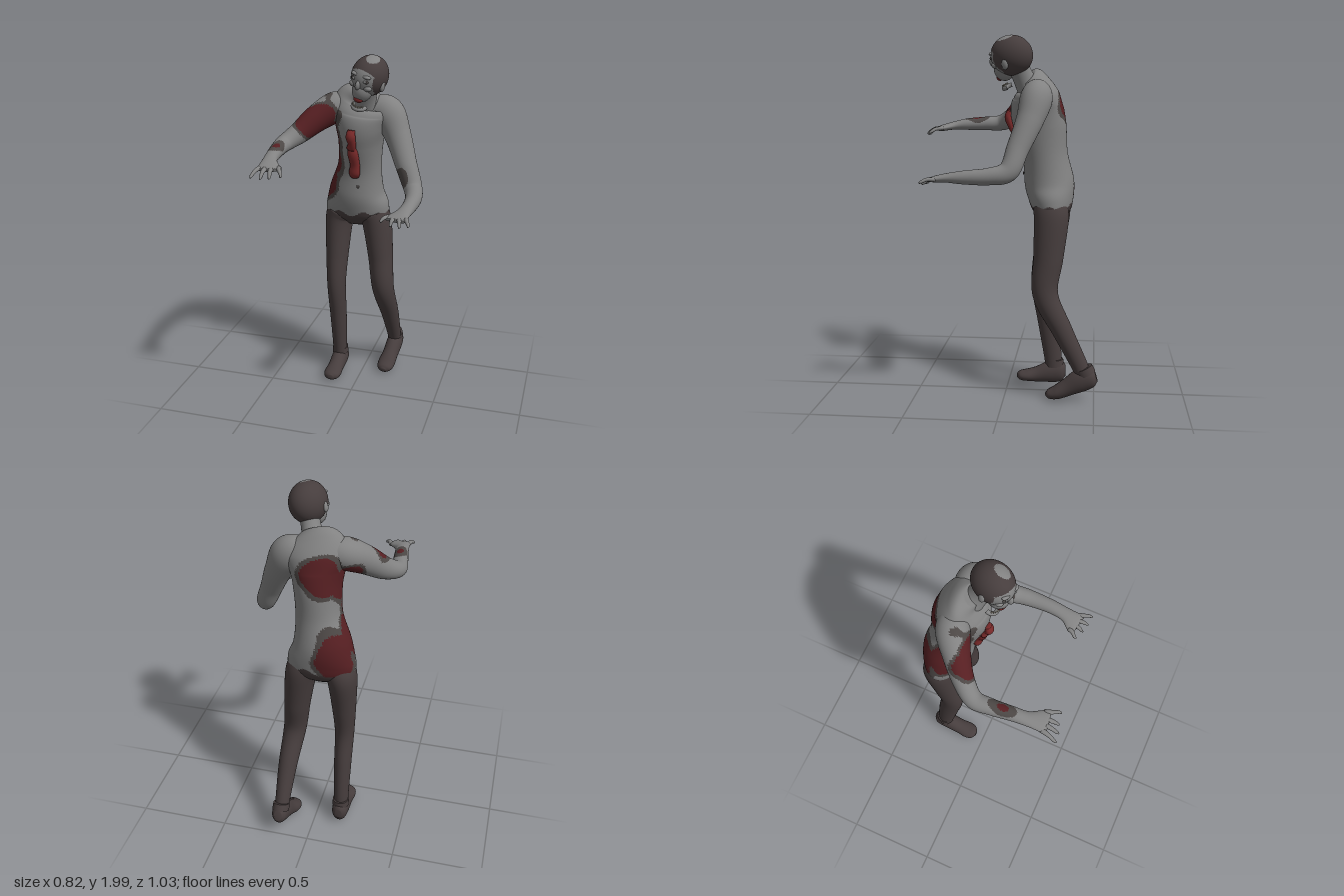
import * as THREE from 'three';

const mat = (name, color) => Object.assign(new THREE.MeshStandardMaterial({ color }), { name });
const V = (x, y, z) => new THREE.Vector3(x, y, z);

// Smooth tube through sections [x, y, z, half width, half depth], closed at both ends
function loft(sections, ref, steps = 60, sides = 48) {
  const path = new THREE.CatmullRomCurve3(sections.map(s => V(s[0], s[1], s[2])), false, 'catmullrom');
  const size = new THREE.CatmullRomCurve3(sections.map(s => V(s[3], s[4], 0)), false, 'catmullrom');
  const pos = [], index = [];
  for (let k = -1; k <= steps + 1; k++) {
    const t = Math.min(Math.max(k / steps, 0), 1);
    const cap = k < 0 || k > steps ? 0.001 : 1;
    const p = path.getPoint(t), r = size.getPoint(t), T = path.getTangent(t);
    const S = ref.clone().cross(T).normalize(), U = T.clone().cross(S);
    for (let j = 0; j < sides; j++) {
      const a = (j / sides) * Math.PI * 2;
      const q = p.clone()
        .addScaledVector(S, Math.max(r.x, 0.002) * Math.cos(a) * cap)
        .addScaledVector(U, Math.max(r.y, 0.002) * Math.sin(a) * cap);
      pos.push(q.x, q.y, q.z);
    }
  }
  for (let k = 0; k < steps + 2; k++) for (let j = 0; j < sides; j++) {
    const a = k * sides + j, b = k * sides + (j + 1) % sides;
    index.push(a, b, a + sides, b, b + sides, a + sides);
  }
  const g = new THREE.BufferGeometry();
  g.setAttribute('position', new THREE.Float32BufferAttribute(pos, 3));
  g.setIndex(index);
  g.computeVertexNormals();
  return g;
}

// Sort the faces into material groups by a rule on the face centre
function paint(g, count, rule) {
  const sets = Array.from({ length: count }, () => []);
  const p = g.attributes.position, ix = g.index.array, c = V(0, 0, 0), v = V(0, 0, 0);
  for (let i = 0; i < ix.length; i += 3) {
    c.set(0, 0, 0);
    for (let k = 0; k < 3; k++) c.add(v.fromBufferAttribute(p, ix[i + k]));
    sets[rule(c.divideScalar(3))].push(ix[i], ix[i + 1], ix[i + 2]);
  }
  g.clearGroups();
  let start = 0;
  sets.forEach((s, m) => { g.addGroup(start, s.length, m); start += s.length; });
  g.setIndex(sets.flat());
  return g;
}

// Wounds: centre, radii, and the inner share that is blood
const wounds = [
  [-0.2, 1.63, -0.02, 0.14, 0.12, 0.1, 0.85],
  [-0.15, 1.47, -0.12, 0.085, 0.28, 0.12, 0.72],
  [-0.19, 1.27, -0.2, 0.1, 0.15, 0.13, 0.85],
  [-0.06, 1.61, -0.31, 0.16, 0.12, 0.11, 0.8],
  [-0.17, 1.54, -0.22, 0.11, 0.13, 0.1, 0.85],
  [-0.13, 1.18, -0.35, 0.13, 0.18, 0.13, 0.82],
  [-0.345, 1.545, 0.21, 0.04, 0.04, 0.078, 0.4],
  [0.27, 1.35, -0.03, 0.045, 0.06, 0.05, 0],
];

// 0 skin, 1 trousers, 2 wound edge, 3 blood
function bodyColour(p) {
  const wobble = 0.06 * Math.sin(p.y * 37 + p.x * 21) + 0.04 * Math.sin(p.z * 53 - p.y * 29);
  let best = 0;
  for (const [x, y, z, a, b, c, red] of wounds) {
    const d = Math.hypot((p.x - x) / a, (p.y - y) / b, (p.z - z) / c) + wobble;
    if (d < red) best = 3;
    else if (d < 1) best = Math.max(best, 2);
  }
  const waist = 1.075 + 0.015 * Math.sin(p.x * 40) + 0.012 * Math.sin(p.z * 45);
  return best === 3 && p.y > 1.06 ? 3 : p.y < waist ? 1 : best;
}

export function createModel() {
  const skin = mat('skin', 0x828282), cloth = mat('trousers and hair', 0x463d3d);
  const edge = mat('wound edge', 0x4c4745), blood = mat('blood', 0x561f22);
  const guts = mat('entrails', 0x7a2a2a), bone = mat('teeth', 0xa09a8c);
  const body = [skin, cloth, edge, blood];
  const model = new THREE.Group();
  const X = V(1, 0, 0), Y = V(0, 1, 0), Z = V(0, 0, 1);
  const add = (name, geo, material, parent = model) => {
    const m = new THREE.Mesh(geo, material);
    m.name = name;
    parent.add(m);
    return m;
  };

  // Torso, hips to collar
  add('torso', paint(loft([
    [-0.03, 0.99, -0.255, 0.08, 0.05], [-0.03, 1.04, -0.255, 0.17, 0.1], [-0.03, 1.1, -0.25, 0.185, 0.122],
    [-0.03, 1.2, -0.238, 0.158, 0.137], [-0.008, 1.35, -0.215, 0.124, 0.125], [0.005, 1.5, -0.19, 0.125, 0.142],
    [0.012, 1.6, -0.17, 0.145, 0.145], [0.02, 1.68, -0.165, 0.17, 0.125], [0.03, 1.74, -0.15, 0.15, 0.085],
    [0.045, 1.775, -0.12, 0.07, 0.05]], Z, 120, 72), 4, bodyColour), body);
  add('neck', loft([[0.035, 1.7, -0.14, 0.075, 0.075], [0.06, 1.77, -0.1, 0.052, 0.058],
    [0.085, 1.85, -0.065, 0.05, 0.055]], Z, 20), skin);

  // Arms, widening into flat palms
  add('leftArm', paint(loft([
    [0.08, 1.69, -0.175, 0.07, 0.075], [0.16, 1.66, -0.175, 0.085, 0.095], [0.225, 1.55, -0.145, 0.072, 0.074],
    [0.285, 1.41, -0.09, 0.06, 0.06], [0.335, 1.295, -0.045, 0.051, 0.055], [0.36, 1.268, 0.05, 0.045, 0.045],
    [0.365, 1.262, 0.18, 0.038, 0.036], [0.355, 1.258, 0.275, 0.04, 0.024], [0.337, 1.25, 0.335, 0.06, 0.017],
    [0.332, 1.245, 0.36, 0.055, 0.01]], Y, 110), 4, bodyColour), body);
  add('rightArm', paint(loft([
    [-0.04, 1.7, -0.175, 0.07, 0.07], [-0.13, 1.685, -0.15, 0.085, 0.085], [-0.22, 1.63, -0.09, 0.07, 0.075],
    [-0.3, 1.56, -0.02, 0.056, 0.06], [-0.357, 1.518, 0.06, 0.048, 0.046], [-0.357, 1.512, 0.15, 0.042, 0.04],
    [-0.345, 1.508, 0.26, 0.037, 0.034], [-0.335, 1.5, 0.34, 0.038, 0.024], [-0.312, 1.485, 0.415, 0.058, 0.017],
    [-0.308, 1.48, 0.44, 0.052, 0.01]], Y, 110), 4, bodyColour), body);

  // Fingers: root and tip
  const fingers = {
    leftFinger: [[0.38, 1.25, 0.33, 0.408, 1.235, 0.41], [0.35, 1.25, 0.34, 0.362, 1.225, 0.405],
      [0.32, 1.25, 0.34, 0.315, 1.225, 0.395], [0.29, 1.25, 0.32, 0.262, 1.235, 0.375]],
    rightFinger: [[-0.355, 1.485, 0.42, -0.374, 1.455, 0.512], [-0.325, 1.485, 0.425, -0.327, 1.45, 0.505],
      [-0.295, 1.485, 0.425, -0.286, 1.45, 0.49], [-0.265, 1.485, 0.4, -0.23, 1.46, 0.478]],
  };
  for (const [name, list] of Object.entries(fingers)) for (const [x, y, z, u, v, w] of list) {
    add(name, loft([[x, y, z, 0.015, 0.011], [(x + u) / 2, (y + v) / 2 + 0.01, (z + w) / 2, 0.011, 0.01],
      [u, v + 0.006, w - 0.012, 0.008, 0.008], [u, v, w, 0.004, 0.004]], Y, 10, 12), skin);
  }

  // Legs, the left one trailing behind
  add('rightLeg', loft([
    [-0.145, 0.09, -0.265, 0.04, 0.045], [-0.145, 0.2, -0.255, 0.043, 0.053], [-0.145, 0.4, -0.228, 0.049, 0.062],
    [-0.147, 0.6, -0.2, 0.054, 0.068], [-0.147, 0.8, -0.225, 0.066, 0.08], [-0.142, 1.0, -0.255, 0.08, 0.095],
    [-0.12, 1.07, -0.25, 0.085, 0.095]], Z), cloth);
  add('leftLeg', loft([
    [0.163, 0.13, -0.445, 0.038, 0.04], [0.162, 0.2, -0.425, 0.041, 0.045], [0.153, 0.4, -0.325, 0.053, 0.056],
    [0.133, 0.6, -0.228, 0.064, 0.07], [0.112, 0.8, -0.242, 0.073, 0.082], [0.085, 1.0, -0.255, 0.085, 0.095],
    [0.06, 1.07, -0.25, 0.088, 0.095]], Z), cloth);

  // Shoes, heel to toe, with ankle collars
  add('rightShoe', loft([
    [-0.145, 0.075, -0.335, 0.02, 0.03], [-0.145, 0.075, -0.31, 0.042, 0.06], [-0.145, 0.068, -0.25, 0.048, 0.064],
    [-0.146, 0.05, -0.17, 0.047, 0.045], [-0.147, 0.042, -0.11, 0.052, 0.034], [-0.147, 0.04, -0.07, 0.042, 0.027],
    [-0.147, 0.04, -0.05, 0.015, 0.014]], Y, 40, 32), cloth);
  add('leftShoe', loft([
    [0.167, 0.155, -0.512, 0.022, 0.03], [0.167, 0.147, -0.485, 0.042, 0.055], [0.164, 0.128, -0.43, 0.048, 0.064],
    [0.155, 0.085, -0.36, 0.047, 0.05], [0.145, 0.05, -0.3, 0.053, 0.039], [0.14, 0.035, -0.255, 0.042, 0.027],
    [0.138, 0.03, -0.235, 0.015, 0.012]], Y, 40, 32), cloth);
  for (const [x, y, z, tilt] of [[-0.145, 0.125, -0.27, 0.05], [0.164, 0.18, -0.45, 0.45]]) {
    const cuff = add('shoeCollar', new THREE.CylinderGeometry(0.046, 0.048, 0.04, 32), cloth);
    cuff.scale.z = 1.12;
    cuff.position.set(x, y, z);
    cuff.rotation.x = tilt;
  }

  // Entrails hanging down the chest, and the navel
  add('upperEntrail', loft([[-0.003, 1.595, -0.02, 0.02, 0.016], [-0.006, 1.56, -0.012, 0.027, 0.022],
    [-0.002, 1.52, -0.025, 0.022, 0.02], [-0.01, 1.485, -0.04, 0.027, 0.018]], Z, 24, 16), guts);
  add('lowerEntrail', loft([[-0.008, 1.49, -0.04, 0.024, 0.016], [-0.003, 1.45, -0.05, 0.03, 0.023],
    [0.003, 1.39, -0.07, 0.027, 0.022], [-0.002, 1.34, -0.08, 0.032, 0.024], [0, 1.312, -0.088, 0.022, 0.014]],
    Z, 30, 16), guts);
  const navel = add('navel', new THREE.SphereGeometry(0.009, 12, 8), edge);
  navel.scale.z = 0.4;
  navel.position.set(0.013, 1.255, -0.096);

  // Head, tilted and turned to its right
  const head = new THREE.Group();
  head.name = 'head';
  head.position.set(0.093, 1.89, -0.038);
  head.rotation.set(0.05, -0.28, -0.22);
  model.add(head);
  const skull = new THREE.SphereGeometry(1, 72, 56).scale(0.094, 0.108, 0.116);
  add('skull', paint(skull, 2, p => {
    const face = p.z > 0.035 && Math.abs(p.x + 0.005) < 0.072 && p.y < 0.052 - p.x * p.x * 5;
    const bald = p.y > 0.07 && Math.hypot((p.x - 0.012) / 0.034, (p.z - 0.022) / 0.044) < 1;
    return face || bald ? 0 : 1;
  }), [skin, cloth], head);
  const blob = (name, material, x, y, z, a, b, c) => {
    const m = add(name, new THREE.SphereGeometry(1, 24, 16), material, head);
    m.scale.set(a, b, c);
    m.position.set(x, y, z);
  };
  blob('upperJaw', skin, 0, -0.068, 0.052, 0.054, 0.066, 0.058);
  blob('nose', skin, 0, -0.03, 0.113, 0.013, 0.025, 0.019);
  blob('mouth', guts, 0, -0.112, 0.08, 0.028, 0.02, 0.022);
  for (const s of [-1, 1]) {
    blob('brow', skin, s * 0.032, 0.022, 0.098, 0.027, 0.01, 0.016);
    blob('eyeSocket', edge, s * 0.033, -0.002, 0.1, 0.018, 0.012, 0.01);
    blob('eye', skin, s * 0.033, -0.002, 0.106, 0.009, 0.008, 0.008);
    blob('cheek', skin, s * 0.043, -0.038, 0.082, 0.023, 0.018, 0.022);
    blob('ear', skin, s * 0.09, -0.03, 0.01, 0.011, 0.028, 0.018);
  }

  // Loose lower jaw with teeth
  const jaw = new THREE.Group();
  jaw.name = 'lowerJaw';
  jaw.position.set(-0.008, -0.165, 0.035);
  jaw.rotation.x = 0.3;
  head.add(jaw);
  add('jawBone', new THREE.TorusGeometry(0.036, 0.012, 12, 32, Math.PI).rotateX(Math.PI / 2), skin, jaw);
  for (let i = 0; i < 7; i++) {
    const a = Math.PI * (0.2 + 0.1 * i);
    const tooth = add('tooth', new THREE.BoxGeometry(0.007, 0.012, 0.006), bone, jaw);
    tooth.position.set(0.036 * Math.cos(a), 0.014, 0.036 * Math.sin(a));
  }
  return model;
}
